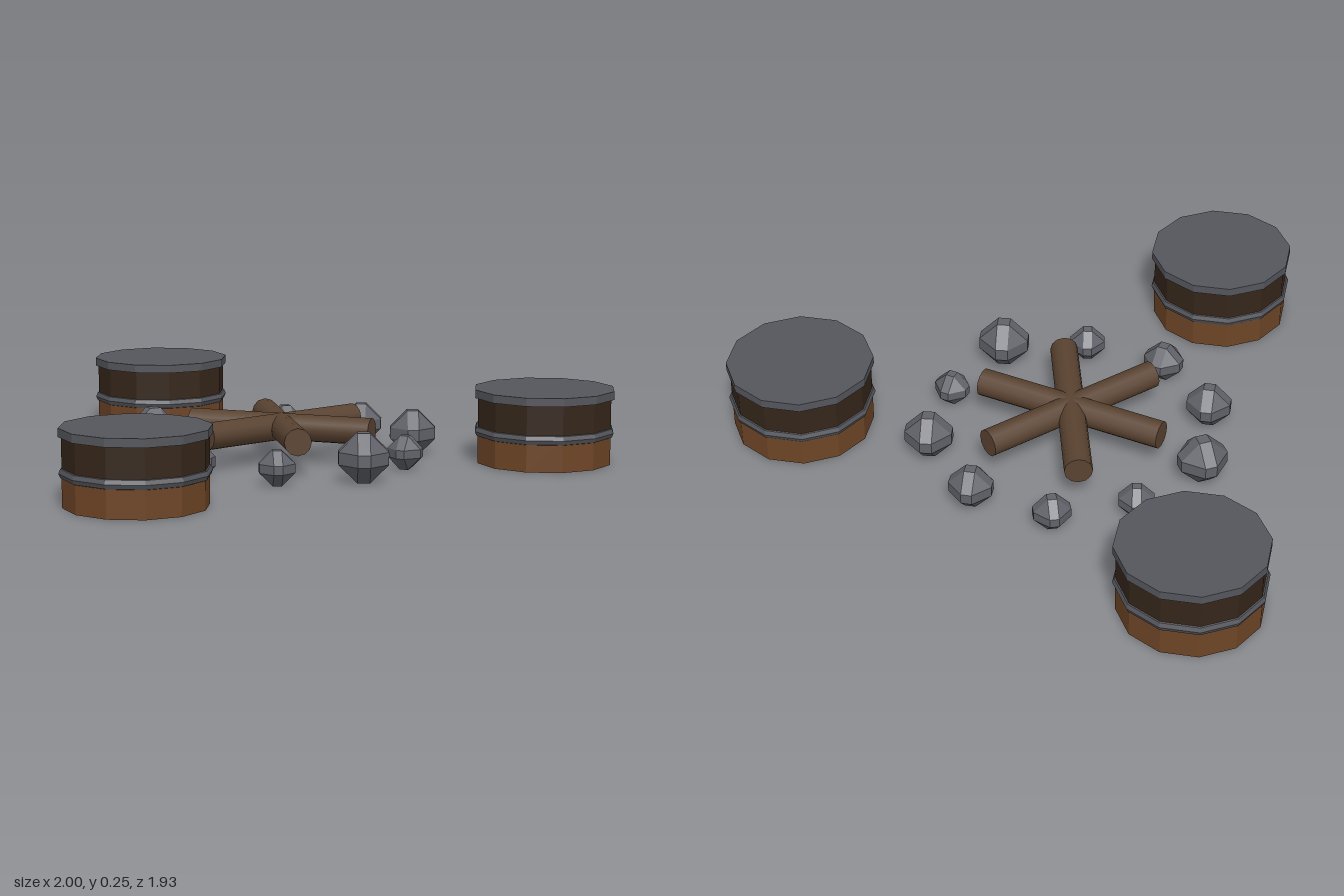
import * as THREE from 'three';
import { ConvexGeometry } from 'three/addons/geometries/ConvexGeometry.js';

const mat = (color, flatShading = true) => new THREE.MeshStandardMaterial({ color, flatShading });
const iron = mat(0x55565c);
const stone = mat(0x62636a);
const wood = mat(0x6e4526);
const darkWood = mat(0x35261a);
const bark = mat(0x5a4331, false);

function add(parent, name, geometry, material, x = 0, y = 0, z = 0) {
  const mesh = new THREE.Mesh(geometry, material);
  mesh.name = name;
  mesh.position.set(x, y, z);
  parent.add(mesh);
  return mesh;
}

// Twelve-sided seat: wooden drum, iron hoop and iron lid
function createStool(x, z) {
  const stool = new THREE.Group();
  stool.name = 'stool';
  stool.position.set(x, 0, z);
  add(stool, 'lowerDrum', new THREE.CylinderGeometry(0.23, 0.23, 0.11, 12), wood, 0, 0.055, 0);
  add(stool, 'upperDrum', new THREE.CylinderGeometry(0.23, 0.23, 0.115, 12), darkWood, 0, 0.1675, 0);
  const hoop = new THREE.TorusGeometry(0.22, 0.02, 8, 12).rotateX(Math.PI / 2);
  add(stool, 'hoop', hoop, iron, 0, 0.108, 0);
  add(stool, 'lid', new THREE.CylinderGeometry(0.24, 0.24, 0.028, 12), iron, 0, 0.236, 0);
  return stool;
}

// Octahedron with bevelled edges and blunted tips, radius 1
function createStoneGeometry() {
  const b = 0.25;
  const points = [];
  for (const sx of [-1, 1]) for (const sy of [-1, 1]) for (const sz of [-1, 1]) {
    points.push(
      new THREE.Vector3(sx, sy * b, sz * b),
      new THREE.Vector3(sx * b, sy, sz * b),
      new THREE.Vector3(sx * b, sy * b, sz));
  }
  return new ConvexGeometry(points);
}

export function createModel() {
  const model = new THREE.Group();
  model.name = 'campfire';

  for (const [x, z] of [[-0.76, -0.73], [0.755, -0.46], [-0.235, 0.72]]) model.add(createStool(x, z));

  // Three crossed logs
  const logGeometry = new THREE.CylinderGeometry(0.046, 0.046, 0.645, 12).rotateZ(Math.PI / 2);
  for (let i = 0; i < 3; i++) {
    add(model, 'log', logGeometry, bark, -0.08, 0.119, -0.155).rotation.y = i * Math.PI / 3;
  }

  // Ring of stones: x, z, radius, turn in degrees
  const stones = [
    [-0.22, -0.585, 0.06, 35], [0.06, -0.595, 0.07, 15], [0.3, -0.43, 0.077, 20],
    [0.36, -0.155, 0.057, 0], [0.305, 0.12, 0.082, 20], [0.06, 0.265, 0.058, 25],
    [-0.22, 0.275, 0.065, 0], [-0.455, 0.115, 0.072, 15], [-0.55, -0.16, 0.079, 45],
    [-0.435, -0.415, 0.057, 25],
  ];
  const stoneGeometry = createStoneGeometry();
  for (const [x, z, r, turn] of stones) {
    const mesh = add(model, 'stone', stoneGeometry, stone, x, r, z);
    mesh.scale.setScalar(r);
    mesh.rotation.y = THREE.MathUtils.degToRad(turn);
  }
  return model;
}
